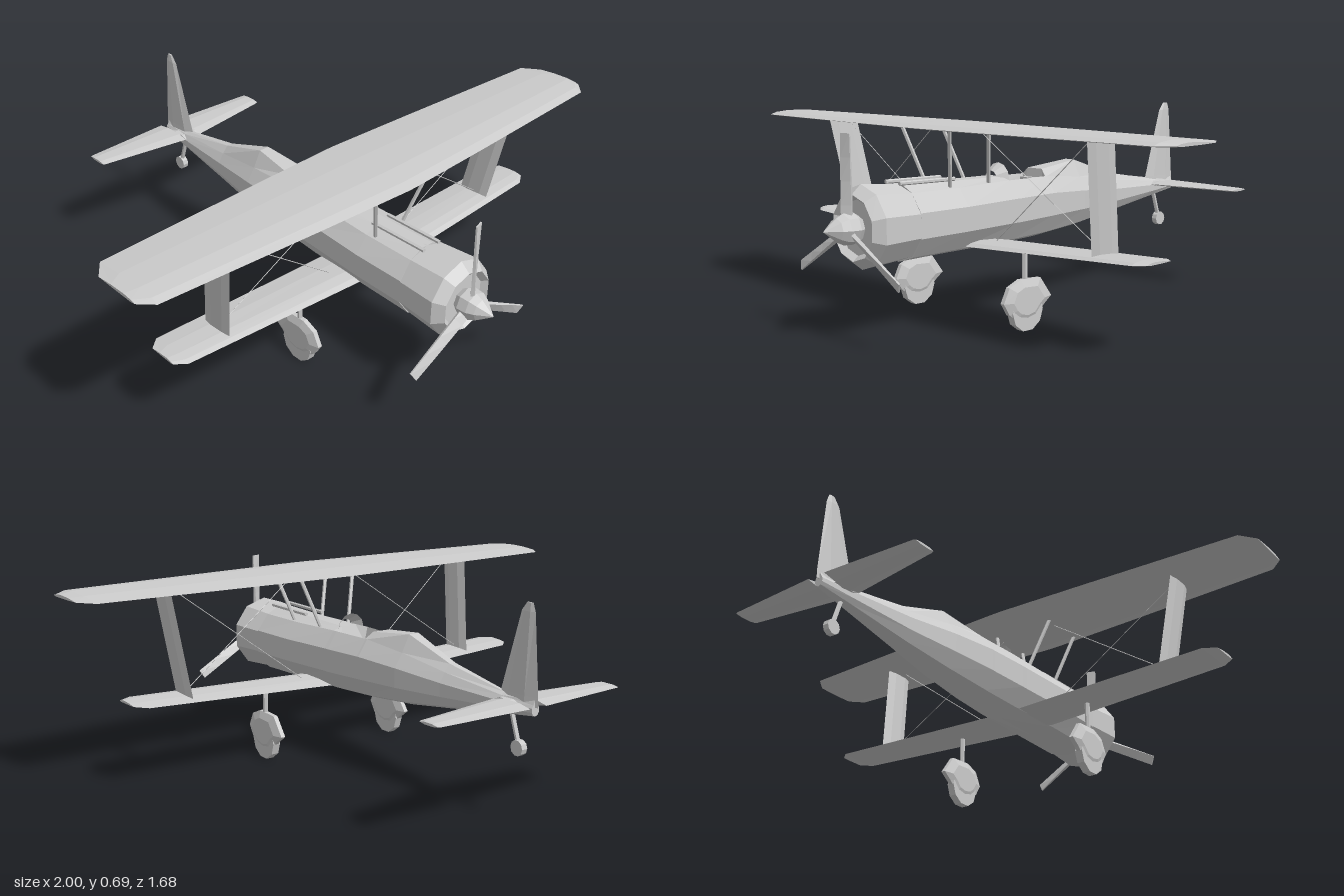
import * as THREE from 'three';

const material = new THREE.MeshStandardMaterial({ color: 0xcccccc, flatShading: true });
const thin = new THREE.MeshStandardMaterial({ color: 0xcccccc, flatShading: true, side: THREE.DoubleSide });
const V = (x, y, z) => new THREE.Vector3(x, y, z);

// Skin a row of equal-sized rings, cap both ends, and turn the faces outward
function loft(rings) {
  const n = rings[0].length, tris = [];
  const centre = r => r.reduce((a, p) => a.add(p), V(0, 0, 0)).divideScalar(n);
  const first = rings[0], last = rings[rings.length - 1];
  const c0 = centre(first), c1 = centre(last);
  for (let j = 0; j < n; j++) {
    const k = (j + 1) % n;
    for (let i = 0; i < rings.length - 1; i++) {
      const a = rings[i], b = rings[i + 1];
      tris.push([a[j], a[k], b[k]], [a[j], b[k], b[j]]);
    }
    tris.push([c0, first[k], first[j]], [c1, last[j], last[k]]);
  }
  const volume = tris.reduce((s, [a, b, c]) => s + a.dot(b.clone().cross(c)), 0);
  if (volume < 0) tris.forEach(t => t.reverse());
  const geometry = new THREE.BufferGeometry().setFromPoints(tris.flat());
  geometry.computeVertexNormals();
  return geometry;
}

// Aerofoil ring: place(t, z) puts each thickness/chord pair in space
const FOIL = [[0, 0], [0.1, 0.5], [0.3, 0.8], [0.65, 0.6], [1, 0], [0.65, -0.2], [0.12, -0.3]];
const BLADE = [[0, 0], [0.25, 0.5], [0.7, 0.5], [1, 0], [0.7, -0.5], [0.25, -0.5]];
const foil = (shape, lead, trail, thick, place) =>
  shape.map(([c, t]) => place(t * thick, lead + (trail - lead) * c));

// Horizontal surface from stations [x, y, lead, trail, thickness]
const wing = (stations, shape = FOIL) => loft(stations.map(([x, y, lead, trail, th]) =>
  foil(shape, lead, trail, th, (t, z) => V(x, y + t, z))));
// Upright surface from the same stations
const upright = (stations) => loft(stations.map(([x, y, lead, trail, th]) =>
  foil(BLADE, lead, trail, th, (t, z) => V(x + t, y, z))));
const mirrored = (half) => [...half.map(([x, ...r]) => [-x, ...r]).reverse(), ...half];

// Round bar between two points
function rod(a, b, r, sides = 6) {
  const d = b.clone().sub(a), g = new THREE.CylinderGeometry(r, r, d.length(), sides);
  g.applyQuaternion(new THREE.Quaternion().setFromUnitVectors(V(0, 1, 0), d.normalize()));
  return g.translate((a.x + b.x) / 2, (a.y + b.y) / 2, (a.z + b.z) / 2);
}

export function createModel() {
  const plane = new THREE.Group();
  plane.name = 'biplane';
  const add = (name, geometry, mat = material, parent = plane) => {
    const mesh = new THREE.Mesh(geometry, mat);
    mesh.name = name;
    parent.add(mesh);
    return mesh;
  };

  // Fuselage stations: z, half width, bottom, shoulder, top, top half width
  const body = [
    [0.55, 0.12, 0.23, 0.462, 0.485, 0.025],
    [0.35, 0.12, 0.235, 0.462, 0.48, 0.025],
    [0.12, 0.11, 0.238, 0.467, 0.478, 0.03],
    [0.1, 0.11, 0.238, 0.467, 0.41, 0.055],   // sunken cockpit floor
    [-0.06, 0.1, 0.245, 0.467, 0.41, 0.05],
    [-0.07, 0.1, 0.246, 0.467, 0.49, 0.035],  // headrest fairing
    [-0.25, 0.082, 0.263, 0.45, 0.51, 0.02],
    [-0.45, 0.055, 0.293, 0.42, 0.445, 0.012],
    [-0.7, 0.03, 0.333, 0.395, 0.403, 0.005],
    [-0.83, 0.015, 0.352, 0.388, 0.402, 0.003],
  ];
  add('fuselage', loft(body.map(([z, w, b, s, top, tw]) => {
    const h = s - b;
    const side = [[0.62 * w, b + 0.1 * h], [w, b + 0.38 * h], [w, b + 0.74 * h], [0.62 * w, s], [tw, top]];
    return [V(0, b, z), ...side.map(([x, y]) => V(x, y, z)),
      ...side.reverse().map(([x, y]) => V(-x, y, z))];
  })));

  // Engine cowling, spinner and propeller
  const lathe = (points, sides) => new THREE.LatheGeometry(
    points.map(([r, z]) => new THREE.Vector2(r, z)), sides).rotateX(Math.PI / 2).translate(0, 0.36, 0);
  add('cowling', lathe([[0.1, 0.535], [0.125, 0.535], [0.137, 0.695], [0.107, 0.73], [0.09, 0.71], [0, 0.71]], 10));
  add('spinner', lathe([[0.035, 0.7], [0.052, 0.73], [0.05, 0.765], [0.038, 0.79], [0, 0.84]], 8));
  const propeller = new THREE.Group();
  propeller.name = 'propeller';
  propeller.position.set(0, 0.36, 0.75);
  plane.add(propeller);
  for (let i = 0; i < 3; i++) {
    const g = new THREE.BoxGeometry(1, 0.3, 1, 1, 4, 1).translate(0, 0.15, 0);
    const p = g.attributes.position;
    for (let k = 0; k < p.count; k++) {
      // Pitch and thickness ease off toward the tip
      const f = p.getY(k) / 0.3, a = 0.75 - 0.45 * f;
      const x = p.getX(k) * 0.035, z = p.getZ(k) * (0.014 - 0.009 * f);
      p.setX(k, x * Math.cos(a) + z * Math.sin(a));
      p.setZ(k, z * Math.cos(a) - x * Math.sin(a));
    }
    g.computeVertexNormals();
    add('propellerBlade', g, material, propeller).rotation.z = i * Math.PI * 2 / 3;
  }

  // Cockpit
  add('windscreen', new THREE.CylinderGeometry(0.03, 0.056, 0.035, 6, 1, true, Math.PI / 2, Math.PI)
    .rotateX(Math.PI / 2).translate(0, 0.468, 0.125), thin);
  add('seatBack', new THREE.BoxGeometry(0.08, 0.05, 0.02).translate(0, 0.435, -0.045));
  add('seat', new THREE.BoxGeometry(0.08, 0.02, 0.04).translate(0, 0.418, -0.02));

  // Wings, with cropped tips
  add('upperWing', wing(mirrored([
    [0.02, 0.66, 0.472, 0.1, 0.023],
    [0.36, 0.66, 0.455, 0.113, 0.021],
    [0.955, 0.66, 0.42, 0.14, 0.018],
    [1, 0.66, 0.375, 0.2, 0.01],
  ])));
  add('lowerWing', wing(mirrored([
    [0.05, 0.262, 0.33, 0.13, 0.02],
    [0.79, 0.294, 0.312, 0.145, 0.014],
    [0.83, 0.297, 0.285, 0.18, 0.008],
  ])));

  // Tail surfaces
  add('fin', upright([
    [0, 0.38, -0.675, -0.84, 0.024],
    [0, 0.41, -0.68, -0.84, 0.022],
    [0, 0.67, -0.76, -0.818, 0.012],
    [0, 0.697, -0.782, -0.808, 0.006],
  ]));

  for (const s of [1, -1]) {
    add('tailplane', wing([
      [0, 0.383, -0.678, -0.78, 0.018],
      [0.033, 0.383, -0.684, -0.78, 0.018],
      [0.034, 0.383, -0.684, -0.843, 0.018],
      [0.37, 0.383, -0.735, -0.825, 0.012],
      [0.378, 0.383, -0.74, -0.822, 0.008],
    ].map(([x, ...r]) => [x * s, ...r]), BLADE));

    // Wing bracing
    add('interplaneStrut', upright([
      [0.615 * s, 0.288, 0.292, 0.17, 0.015],
      [0.652 * s, 0.66, 0.357, 0.235, 0.015],
    ]));
    for (const dz of [0, -0.17]) {
      add('cabaneStrut', rod(V(0.062 * s, 0.465, 0.38 + dz), V(0.122 * s, 0.66, 0.432 + dz), 0.007));
    }
    add('braceWire', rod(V(0.62 * s, 0.295, 0.235), V(0.12 * s, 0.65, 0.3), 0.0015, 4));
    add('braceWire', rod(V(0.12 * s, 0.27, 0.235), V(0.62 * s, 0.655, 0.3), 0.0015, 4));

    // Gun barrels on the nose
    add('gunBarrel', rod(V(0.036 * s, 0.488, 0.34), V(0.036 * s, 0.491, 0.57), 0.007));

    // Main wheel with its fairing and leg
    const outline = [[0.35, 0.103], [0.325, 0.153], [0.275, 0.174], [0.185, 0.17], [0.135, 0.103],
      [0.17, 0.077], [0.205, 0.04], [0.25, 0.03], [0.295, 0.04], [0.325, 0.063]];
    const spat = [[-0.018, 0.65], [-0.008, 1], [0.008, 1], [0.018, 0.65]].map(([x, k]) =>
      outline.map(([z, y]) => V(0.28 * s + x, 0.1 + (y - 0.1) * k, 0.247 + (z - 0.247) * k)));
    add('wheelFairing', loft(spat));
    add('mainWheel', new THREE.CylinderGeometry(0.068, 0.068, 0.028, 10)
      .rotateZ(Math.PI / 2).translate(0.28 * s, 0.067, 0.248));
    add('wheelLeg', rod(V(0.28 * s, 0.15, 0.25), V(0.28 * s, 0.272, 0.25), 0.009));
  }

  // Tail wheel
  add('tailWheelLeg', rod(V(0, 0.35, -0.728), V(0, 0.245, -0.763), 0.008));
  add('tailWheel', new THREE.CylinderGeometry(0.026, 0.026, 0.022, 10)
    .rotateZ(Math.PI / 2).translate(0, 0.238, -0.764));

  return plane;
}
